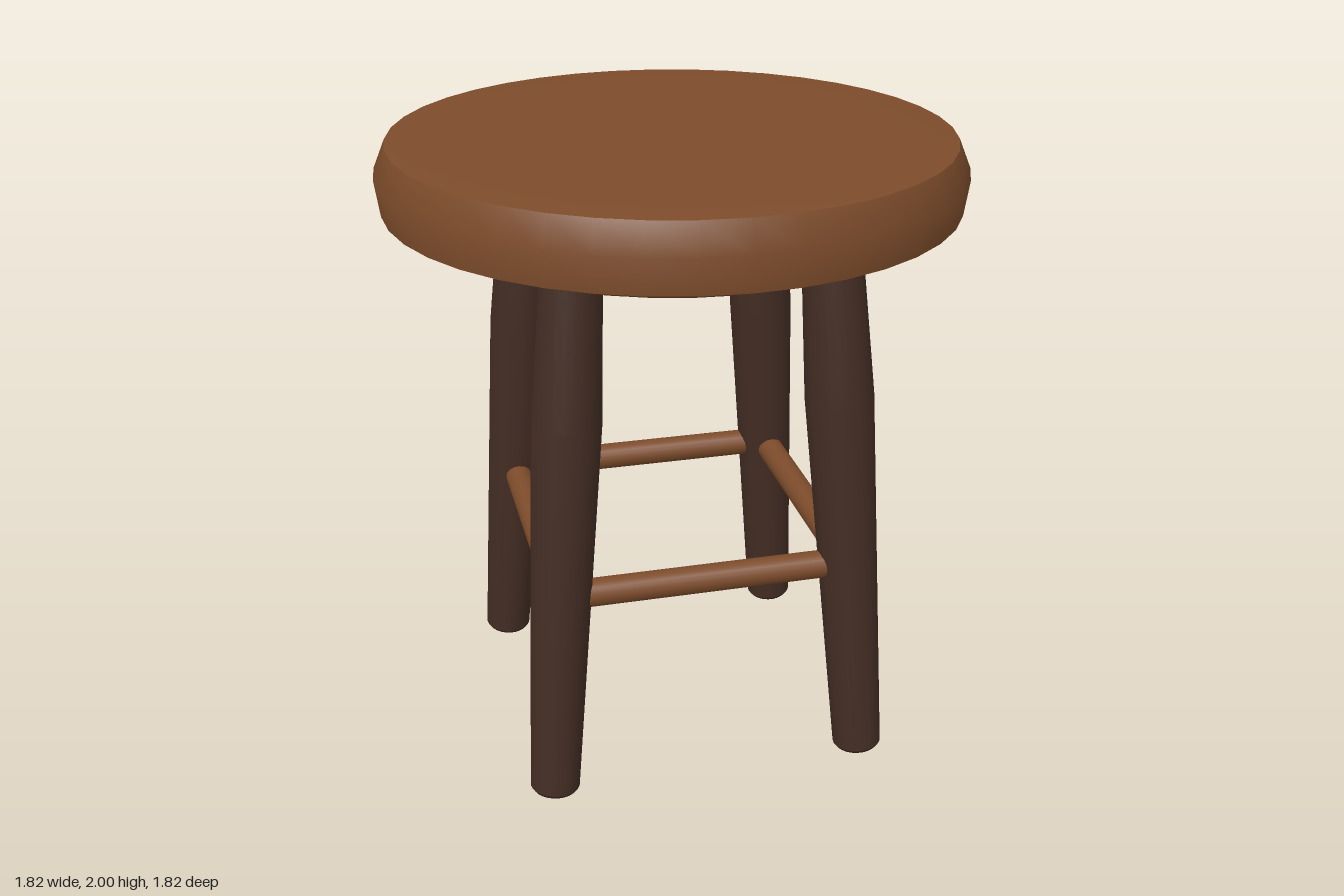
import * as THREE from 'three';

const seatWood = new THREE.MeshStandardMaterial({ color: 0x7d4c2b });
seatWood.name = 'warm brown wood';
const legWood = new THREE.MeshStandardMaterial({ color: 0x432d24 });
legWood.name = 'dark brown wood';

// Turned surface from a bottom-to-top profile of [radius, y]
function turned(name, profile, sides, material) {
  const points = profile.map(([r, y]) => new THREE.Vector2(r, y));
  const mesh = new THREE.Mesh(new THREE.LatheGeometry(points, sides), material);
  mesh.name = name;
  return mesh;
}

// Seat: three turned surfaces meeting at crisp edges
function createSeat() {
  const seat = new THREE.Group();
  seat.name = 'seat';
  seat.add(
    turned('seatUnderside', [[0, 1.74], [0.77, 1.74], [0.895, 1.79]], 40, seatWood),
    turned('seatRim', [[0.895, 1.79], [0.91, 1.9], [0.872, 1.99]], 40, seatWood),
    turned('seatTop', [[0.872, 1.99], [0.72, 2.0], [0.2, 1.997], [0, 1.997]], 40, seatWood)
  );
  return seat;
}

// Leg: swells towards the upper third, splayed outwards along both axes
const SPLAY = 0.07;
const FOOT = 0.513;
function createLeg(sx, sz) {
  const leg = new THREE.Group();
  leg.name = 'leg';
  leg.add(
    turned('legShaft', [[0.079, 0.012], [0.107, 1.25], [0.09, 1.77]], 24, legWood),
    turned('legFoot', [[0, 0], [0.07, 0], [0.079, 0.012]], 24, legWood)
  );
  leg.position.set(sx * FOOT, 0.007, sz * FOOT);
  const axis = new THREE.Vector3(-sx * SPLAY, 1, -sz * SPLAY).normalize();
  leg.quaternion.setFromUnitVectors(new THREE.Vector3(0, 1, 0), axis);
  return leg;
}

// Stretchers: four round rails joining neighbouring legs
const RAIL_Y = 0.685;
function createStretcher(i) {
  const reach = FOOT - SPLAY * RAIL_Y;
  const rail = new THREE.Mesh(new THREE.CylinderGeometry(0.045, 0.045, 2 * reach, 16), seatWood);
  rail.rotation.z = Math.PI / 2;
  rail.position.set(0, RAIL_Y, reach);
  const pivot = new THREE.Group();
  pivot.name = 'stretcher';
  pivot.rotation.y = i * Math.PI / 2;
  pivot.add(rail);
  return pivot;
}

export function createModel() {
  const stool = new THREE.Group();
  stool.name = 'stool';
  stool.add(createSeat());
  for (const sx of [-1, 1]) for (const sz of [-1, 1]) stool.add(createLeg(sx, sz));
  for (let i = 0; i < 4; i++) stool.add(createStretcher(i));
  return stool;
}
